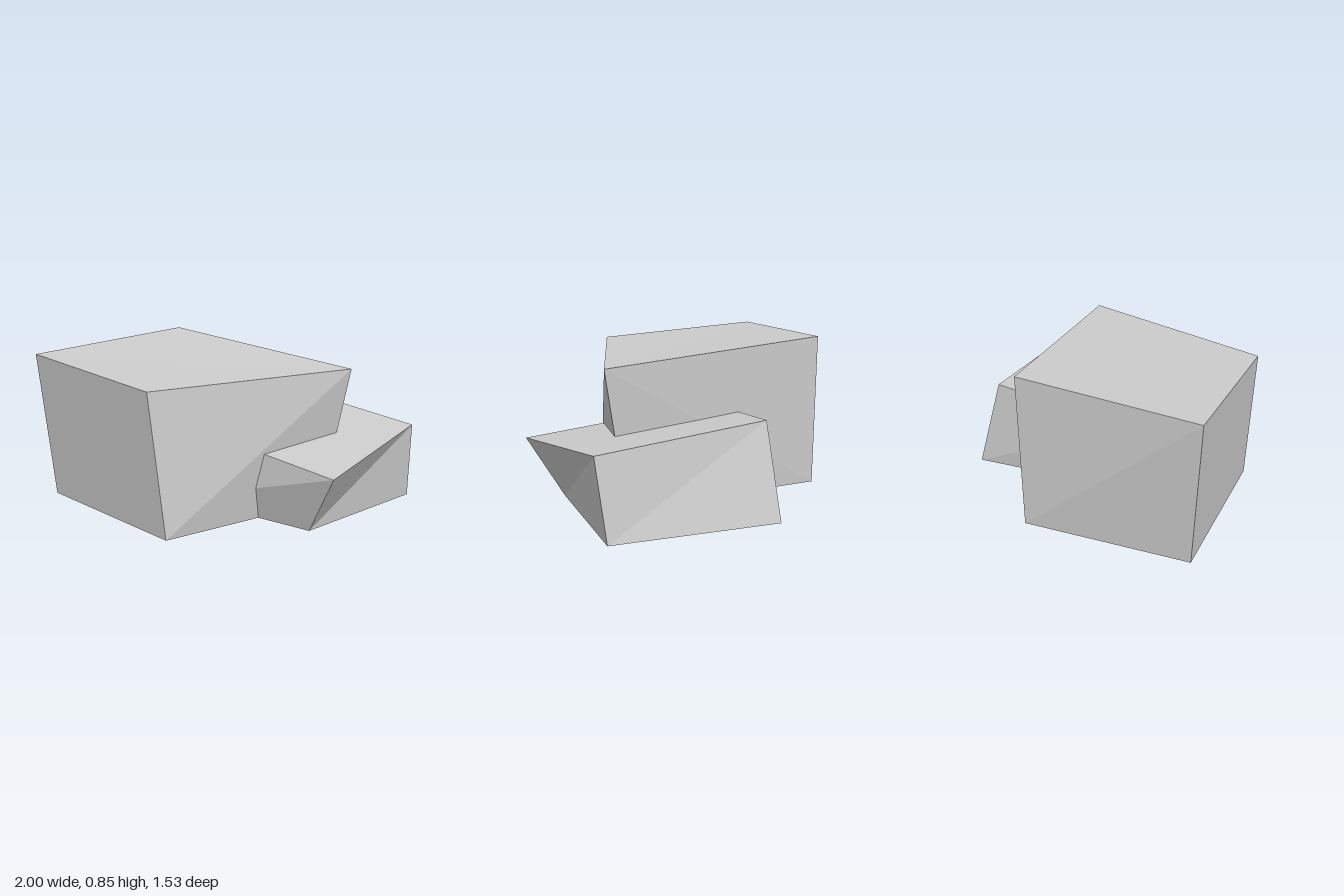
import * as THREE from 'three';

const stone = new THREE.MeshStandardMaterial({ color: 0xcccccc, side: THREE.DoubleSide, flatShading: true });
stone.name = 'grey stone';

// Skewed block, open underneath. Rings run counterclockwise seen from above;
// a side listed in "falling" is creased from its first top corner to its second base corner.
function block(name, base, top, falling = []) {
  const points = [];
  base.forEach(([x, z], i) => {
    const j = (i + 1) % 4;
    const b0 = [x, 0, z], b1 = [base[j][0], 0, base[j][1]];
    const t0 = top[i], t1 = top[j];
    if (falling.includes(i)) points.push(b0, b1, t0, b1, t1, t0);
    else points.push(b0, b1, t1, b0, t1, t0);
  });
  // top face
  points.push(top[0], top[1], top[2], top[0], top[2], top[3]);
  const geometry = new THREE.BufferGeometry();
  geometry.setAttribute('position', new THREE.Float32BufferAttribute(points.flat(), 3));
  geometry.computeVertexNormals();
  const mesh = new THREE.Mesh(geometry, stone);
  mesh.name = name;
  return mesh;
}

export function createModel() {
  const group = new THREE.Group();
  group.name = 'rocks';

  // tall rock
  group.add(block('largeRock',
    [[-0.92, 0.295], [-0.07, 0.752], [0.545, -0.02], [-0.49, -0.515]],
    [[-1, 0.805, 0.31], [-0.15, 0.76, 0.765], [0.692, 0.768, -0.02], [-0.48, 0.845, -0.533]],
    [2]));

  // low rock leaning into it
  group.add(block('smallRock',
    [[0.58, 0.405], [0.985, -0.302], [0.21, -0.765], [-0.25, 0.14]],
    [[0.725, 0.335, 0.54], [1, 0.43, -0.24], [0.17, 0.505, -0.637], [-0.27, 0.42, 0.07]]));

  return group;
}
